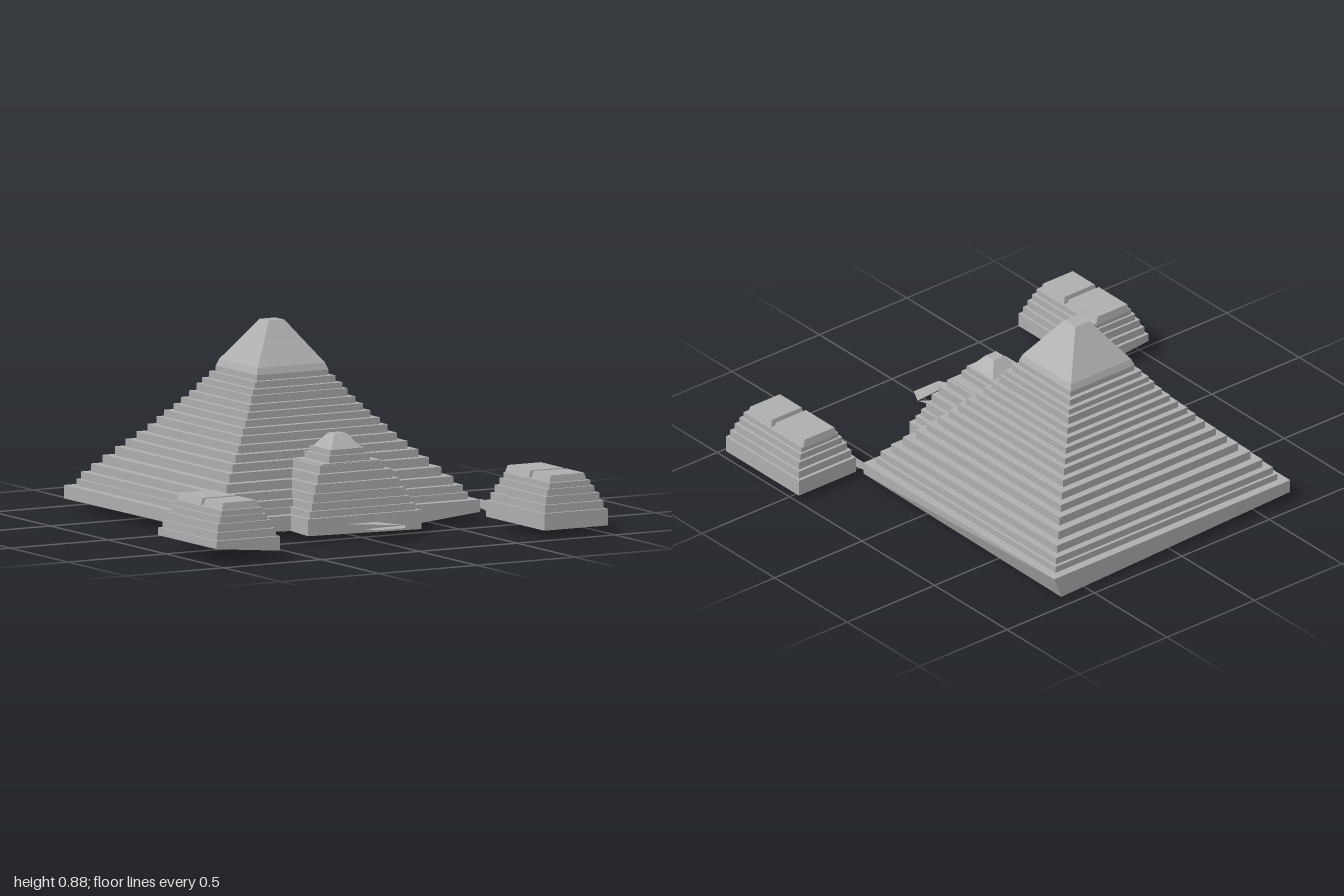
import * as THREE from 'three';

const stone = new THREE.MeshStandardMaterial({ color: 0xb0b0b0, side: THREE.DoubleSide });
stone.name = 'grey stone';

// Flat-faced skin over stacked loops of [x, y, z] points, optionally capped on top
function loft(name, loops, cap = true) {
  const pos = [];
  const tri = (a, b, c) => pos.push(...a, ...b, ...c);
  for (let i = 0; i < loops.length - 1; i++) {
    const lo = loops[i], hi = loops[i + 1], n = lo.length;
    for (let j = 0; j < n; j++) {
      const k = (j + 1) % n;
      tri(lo[j], lo[k], hi[k]);
      tri(lo[j], hi[k], hi[j]);
    }
  }
  if (cap) {
    const top = loops[loops.length - 1];
    for (let j = 1; j < top.length - 1; j++) tri(top[0], top[j], top[j + 1]);
  }
  const geo = new THREE.BufferGeometry();
  geo.setAttribute('position', new THREE.Float32BufferAttribute(pos, 3));
  geo.computeVertexNormals();
  const mesh = new THREE.Mesh(geo, stone);
  mesh.name = name;
  return mesh;
}

// Rectangular loop
const rect = (y, cx, cz, hx, hz) => [
  [cx + hx, y, cz + hz], [cx + hx, y, cz - hz], [cx - hx, y, cz - hz], [cx - hx, y, cz + hz],
];

// Main square with a porch projecting from its front
const CZ = -0.275, RATIO = 0.975;
function tee(y, w, b, f) {
  const F = CZ + w * RATIO, B = CZ - w * RATIO;
  return [[w, y, F], [w, y, B], [-w, y, B], [-w, y, F], [-b, y, F], [-b, y, f], [b, y, f], [b, y, F]];
}

// Turns [top height, ...sizes] tiers into riser and tread loops
function steps(y, tiers, make) {
  const loops = [];
  for (const [top, ...size] of tiers) {
    loops.push(make(y, ...size), make(top, ...size));
    y = top;
  }
  return loops;
}

function stepBlock(side) {
  const group = new THREE.Group();
  group.name = side > 0 ? 'leftStepBlock' : 'rightStepBlock';
  const cx = side * 0.8375, cz = 0.6875;
  const tiers = [
    [0.11, 0.1625, 0.2525], [0.145, 0.15, 0.237], [0.18, 0.137, 0.222],
    [0.21, 0.12, 0.21], [0.235, 0.105, 0.2],
  ];
  const loops = steps(0.035, tiers, (y, hx, hz) => rect(y, cx, cz, hx, hz));
  // uneven lower edge
  if (side < 0) loops[0].forEach((p) => { p[1] = p[0] < cx ? 0.075 : 0.045; });
  group.add(loft('blockTiers', loops));
  // paired caps
  for (const [z, hz] of [[0.588, 0.098], [0.79, 0.075]]) {
    group.add(loft('blockCap', [rect(0.23, cx, z, 0.096, hz + 0.006), rect(0.266, cx, z, 0.085, hz)]));
  }
  // narrow wall joining the block to the main base
  const x = side * 0.675;
  group.add(loft('joiningWall', [
    [[x, 0.06, 0.44], [x, 0.07, 0.38]],
    [[x, 0.108, 0.44], [x, 0.108, 0.38]],
  ], false));
  return group;
}

export function createModel() {
  const model = new THREE.Group();
  model.name = 'steppedPyramid';

  // Lower tiers: main base and porch as one outline
  const lower = steps(0, [
    [0.105, 0.675, 0.29, 0.53], [0.135, 0.635, 0.27, 0.512], [0.168, 0.62, 0.25, 0.497],
    [0.205, 0.588, 0.235, 0.482], [0.245, 0.55, 0.215, 0.467], [0.285, 0.51, 0.19, 0.445],
    [0.32, 0.475, 0.165, 0.42],
  ], tee);
  // uneven lower edge
  const bottoms = [0.05, 0, 0.045, 0.05, 0.035, 0.03, 0.02, 0.015];
  lower[0].forEach((p, i) => { p[1] = bottoms[i]; });
  lower[0][1][0] = 0.635;
  // porch outline folds back to the main front
  lower.push(tee(0.32, 0.44, 0.165, CZ + 0.44 * RATIO));
  model.add(loft('lowerTiers', lower, false));

  // Upper tiers, ending in a smooth tapered peak
  const square = (y, w) => rect(y, 0, CZ, w, w * RATIO);
  const upper = steps(0.32, [
    [0.355, 0.44], [0.39, 0.405], [0.425, 0.375], [0.455, 0.35], [0.485, 0.32],
    [0.515, 0.295], [0.545, 0.27], [0.58, 0.245], [0.605, 0.228], [0.635, 0.205], [0.66, 0.183],
  ], square);
  upper.push(square(0.69, 0.172), square(0.79, 0.1), square(0.875, 0.04));
  model.add(loft('upperTiers', upper));

  // Free-standing top of the porch
  const porch = (y, hx, hz) => rect(y, 0, 0.29, hx, hz);
  const porchTop = steps(0.305, [[0.325, 0.15, 0.125], [0.355, 0.105, 0.105], [0.38, 0.088, 0.09]], porch);
  porchTop.push(porch(0.38, 0.075, 0.078), porch(0.402, 0.06, 0.06), porch(0.44, 0.03, 0.028));
  model.add(loft('porchTop', porchTop));

  // Bent path fragment in front of the porch
  const y = 0.07;
  model.add(loft('pathUpper', [[[-0.09, y, 0.54], [0.11, y, 0.69], [0.05, y, 0.54]]]));
  model.add(loft('pathLower', [[[0.07, y, 0.765], [0.11, y, 0.69], [-0.105, y, 0.71], [-0.07, y, 0.765]]]));

  for (const side of [-1, 1]) model.add(stepBlock(side));
  return model;
}
